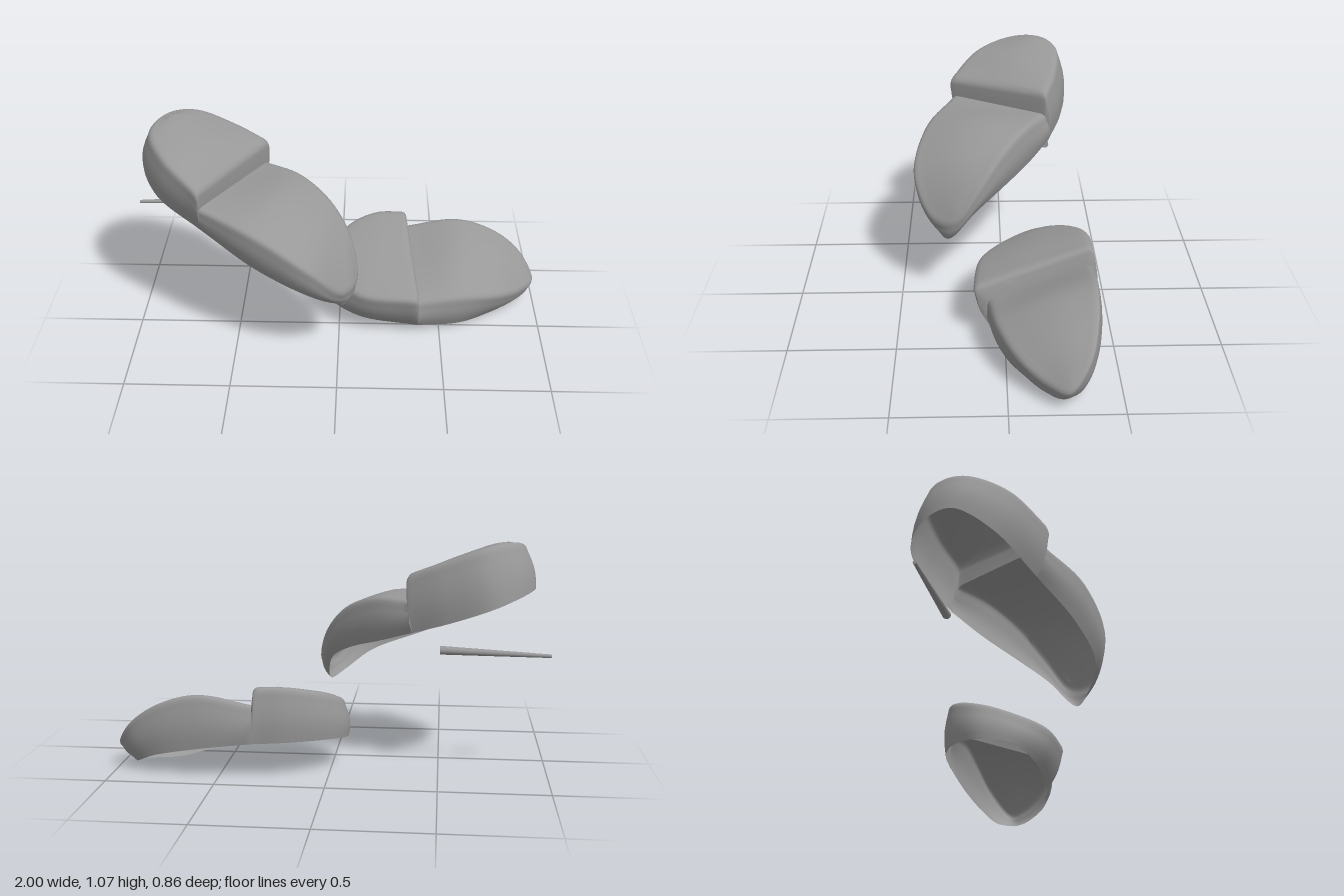
import * as THREE from 'three';
import { toCreasedNormals } from 'three/addons/utils/BufferGeometryUtils.js';

const material = new THREE.MeshStandardMaterial({ color: 0x989898, side: THREE.DoubleSide });
const curve = (pts) => new THREE.CatmullRomCurve3(pts.map((p) => new THREE.Vector3(...p)));

// One end of a sole (heel or forefoot). Edge and rim both run from one end of
// the step, around the tip, to the other end of the step.
function makeEnd({ edge, rim, dome }) {
  const top = curve(edge), low = curve(rim);
  const ROUND = 0.04, BULGE = 0.014;

  // open rim, bulging wall, rounded top corner leaning to the centre line
  function wall(t) {
    const e = top.getPoint(t), r = low.getPoint(t);
    const u = Math.min(t, 1 - t) * 0.7;
    const inward = top.getPoint(u).lerp(top.getPoint(1 - u), 0.5).sub(e).normalize();
    const down = r.clone().sub(e);
    const outward = new THREE.Vector3(-inward.x, 0, -inward.z);
    const shoulder = ROUND / down.length();
    const pts = [];
    for (let i = 0; i <= 5; i++) {
      const s = 1 - (1 - shoulder) * i / 5;
      const swell = Math.sin(Math.PI * (1 - s) / (1 - shoulder)) * BULGE;
      pts.push(e.clone().addScaledVector(down, s).addScaledVector(outward, swell));
    }
    const inner = e.clone().addScaledVector(inward, ROUND);
    const corner = new THREE.QuadraticBezierCurve3(pts[5], e, inner);
    for (let i = 1; i <= 4; i++) pts.push(corner.getPoint(i / 4));
    return pts;
  }

  // full cross-section: wall, domed top, opposite wall
  return (t) => {
    const a = wall(t), b = wall(1 - t).reverse();
    const p = a[a.length - 1], q = b[0], mid = [];
    const rise = dome * Math.min(1, p.distanceTo(q) / 0.3) * Math.min(1, t * 8);
    for (let i = 1; i < 12; i++) {
      const m = p.clone().lerp(q, i / 12);
      m.y += rise * Math.sin(Math.PI * i / 12);
      mid.push(m);
    }
    return [...a, ...mid, ...b];
  };
}

// Loft from heel tip to step, over the rounded step, then on to the toe tip.
function makeSole(name, heel, fore) {
  const heelAt = makeEnd(heel), foreAt = makeEnd(fore), rows = [], N = 28, LIP = 0.03;
  for (let i = N; i > 0; i--) rows.push(heelAt(LIP + (0.5 - LIP) * i / N));
  const before = heelAt(LIP), lip = heelAt(0), foot = foreAt(0);
  for (let i = 0; i <= 5; i++) {
    rows.push(lip.map((p, j) => new THREE.QuadraticBezierCurve3(
      before[j], p, p.clone().lerp(foot[j], 0.3)).getPoint(i / 5)));
  }
  for (let i = 0; i <= N; i++) rows.push(foreAt(0.5 * i / N));

  const cols = rows[0].length, index = [];
  for (let i = 0; i < rows.length - 1; i++) {
    for (let j = 0; j < cols - 1; j++) {
      const a = i * cols + j, c = a + cols;
      index.push(a, a + 1, c, a + 1, c + 1, c);
    }
  }
  const geometry = new THREE.BufferGeometry().setFromPoints(rows.flat());
  geometry.setIndex(index);
  const mesh = new THREE.Mesh(toCreasedNormals(geometry, 1.0), material);
  mesh.name = name;
  return mesh;
}

export function createModel() {
  const group = new THREE.Group();
  group.name = 'shoeSoles';

  // raised sole, toe bent downwards
  group.add(makeSole('upperSole', {
    dome: 0.02,
    edge: [[-0.335, 0.925, -0.225], [-0.5, 0.99, -0.28], [-0.69, 1.06, -0.29], [-0.82, 1.08, -0.205],
      [-0.88, 1.055, -0.05], [-0.8, 1.005, 0.125], [-0.63, 0.9, 0.27]],
    rim: [[-0.375, 0.66, -0.24], [-0.55, 0.72, -0.31], [-0.74, 0.79, -0.335], [-0.88, 0.84, -0.235],
      [-0.93, 0.85, -0.1], [-0.85, 0.77, 0.06], [-0.62, 0.66, 0.2]],
  }, {
    dome: 0.025,
    edge: [[-0.345, 0.81, -0.225], [-0.18, 0.805, -0.12], [-0.03, 0.73, 0], [0.065, 0.6, 0.1], [0.1, 0.44, 0.22],
      [0.04, 0.42, 0.345], [-0.12, 0.6, 0.44], [-0.37, 0.75, 0.385], [-0.63, 0.81, 0.25]],
    rim: [[-0.375, 0.66, -0.24], [-0.22, 0.6, -0.13], [-0.07, 0.54, 0], [0.03, 0.46, 0.13], [0.045, 0.325, 0.265],
      [-0.02, 0.36, 0.325], [-0.15, 0.45, 0.385], [-0.38, 0.55, 0.33], [-0.62, 0.66, 0.2]],
  }));

  // resting sole, tilted towards the front
  group.add(makeSole('lowerSole', {
    dome: 0.01,
    edge: [[0.33, 0.435, -0.41], [0.18, 0.435, -0.4], [0.04, 0.4, -0.33], [-0.055, 0.34, -0.175],
      [-0.025, 0.285, -0.01], [0.1, 0.255, 0.12], [0.39, 0.25, 0.16]],
    rim: [[0.335, 0.17, -0.425], [0.18, 0.175, -0.405], [0.025, 0.17, -0.325], [-0.075, 0.15, -0.185],
      [-0.045, 0.13, -0.03], [0.1, 0.085, 0.05], [0.39, 0.04, 0.06]],
  }, {
    dome: 0.02,
    edge: [[0.34, 0.35, -0.41], [0.6, 0.395, -0.41], [0.8, 0.335, -0.395], [0.94, 0.23, -0.355], [1.01, 0.11, -0.265],
      [0.945, 0.108, -0.165], [0.81, 0.155, -0.035], [0.6, 0.2, 0.055], [0.395, 0.19, 0.085]],
    rim: [[0.335, 0.17, -0.425], [0.6, 0.135, -0.415], [0.8, 0.09, -0.375], [0.9, 0.04, -0.31], [0.92, 0.025, -0.23],
      [0.86, 0.012, -0.17], [0.75, 0, -0.1], [0.6, 0.015, 0], [0.39, 0.04, 0.06]],
  }));

  // thin tapering sliver under the raised heel
  const sliver = new THREE.Mesh(new THREE.CylinderGeometry(0.008, 0.02, 0.5, 10, 4), material);
  sliver.name = 'sliver';
  sliver.position.set(-0.75, 0.572, -0.23);
  sliver.rotation.z = Math.PI / 2 + 0.035;
  group.add(sliver);
  return group;
}
